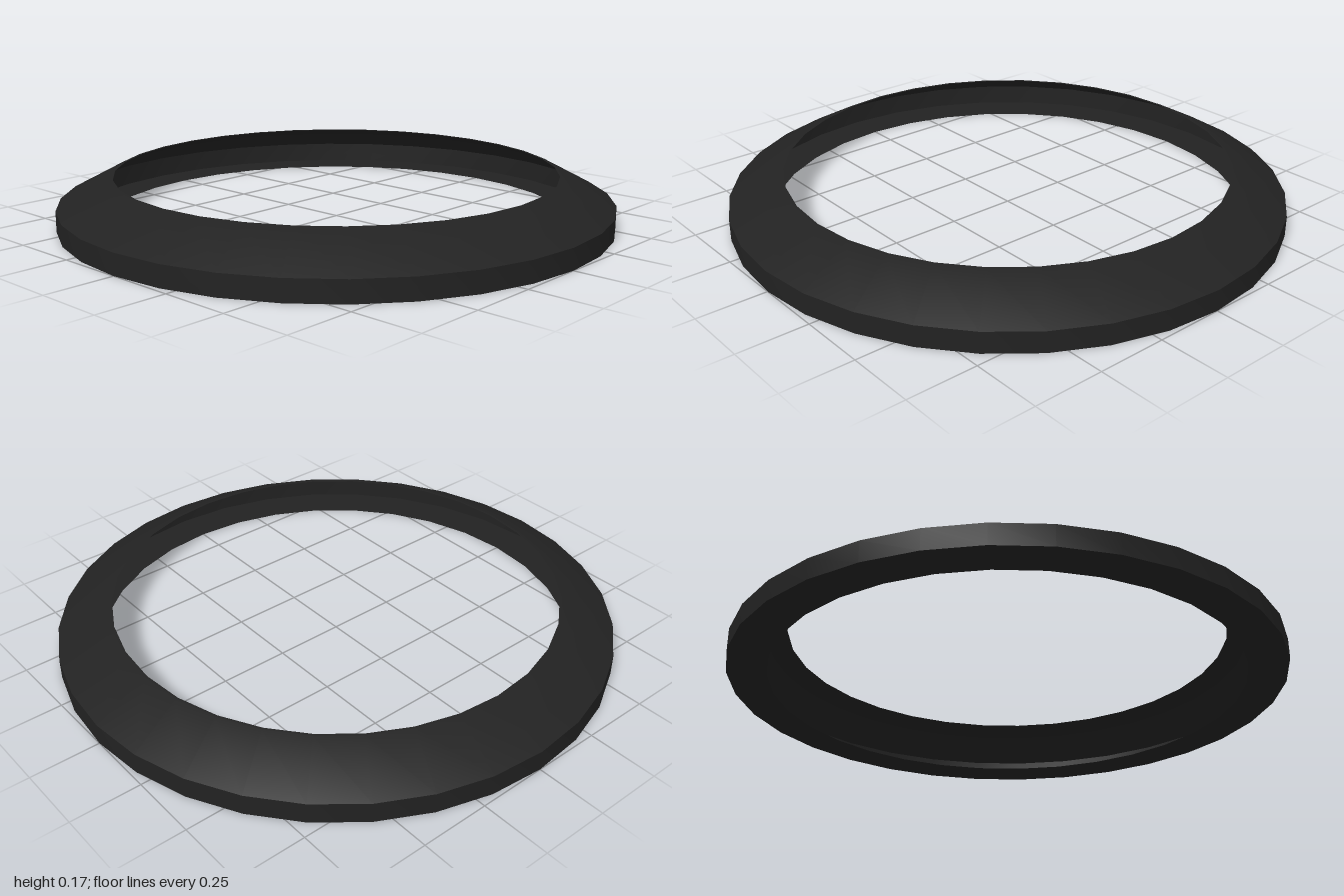
import * as THREE from 'three';
import { toCreasedNormals } from 'three/addons/utils/BufferGeometryUtils.js';

export function createModel() {
  const group = new THREE.Group();
  group.name = 'bezelRing';

  // Open shell section (radius, height): base flange, outer wall, sloped bevel, narrow flat rim
  const profile = [
    [0.86, 0],
    [1, 0],
    [1, 0.075],
    [0.81, 0.175],
    [0.8, 0.175],
  ].map(([r, y]) => new THREE.Vector2(r, y));

  // Smooth around the ring and into the rim, sharp at the wall edges
  const geometry = toCreasedNormals(new THREE.LatheGeometry(profile, 32), 0.6);
  const material = new THREE.MeshStandardMaterial({ color: 0x222222, side: THREE.DoubleSide });
  const ring = new THREE.Mesh(geometry, material);
  ring.name = 'ringShell';
  group.add(ring);

  return group;
}
